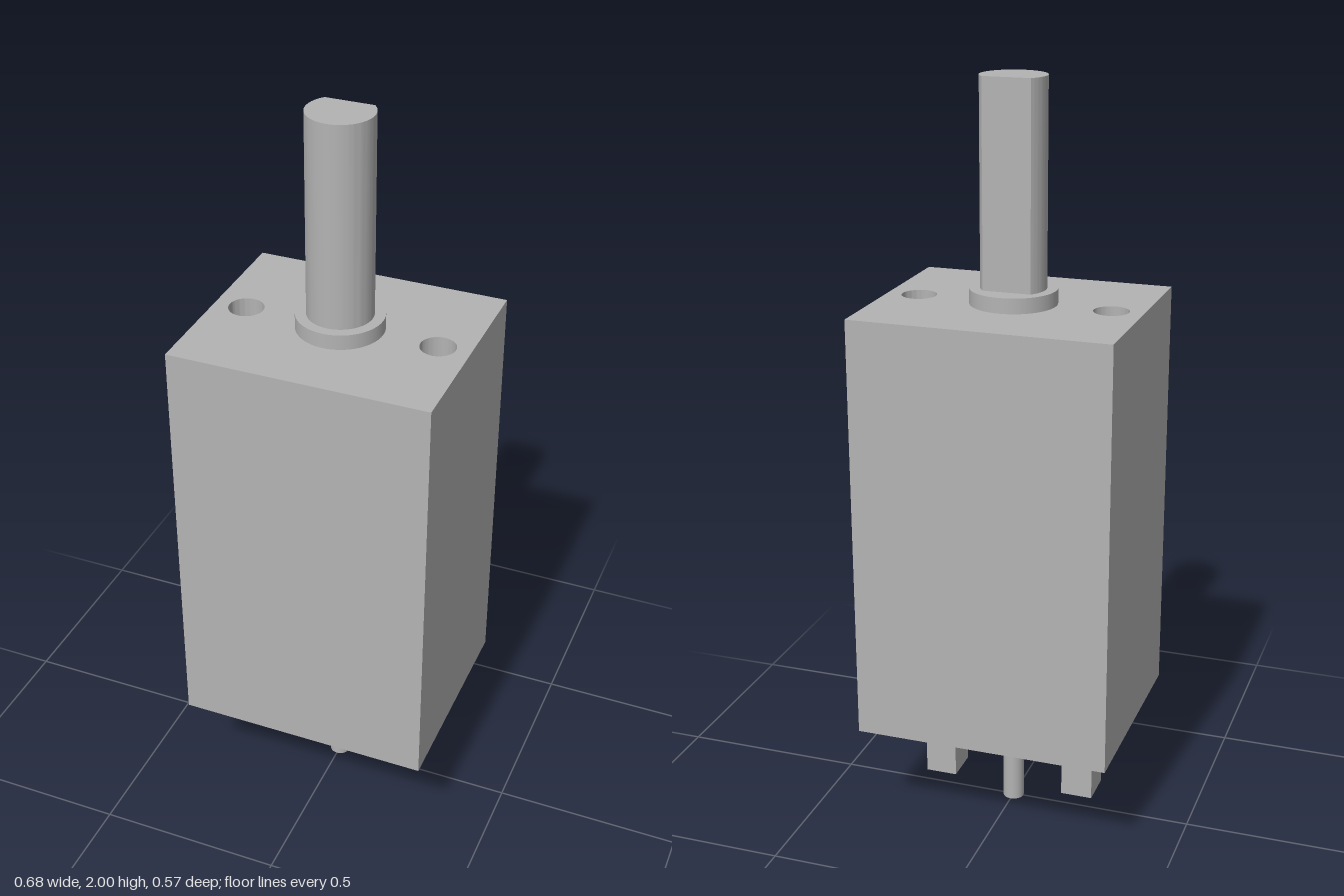
import * as THREE from 'three';
import { toCreasedNormals } from 'three/addons/utils/BufferGeometryUtils.js';

const WIDTH = 0.683, DEPTH = 0.57, BOTTOM = 0.29, TOP = 1.43;
const HOLE_X = 0.257, HOLE_R = 0.046, HOLE_DEPTH = 0.17;

export function createModel() {
  const model = new THREE.Group();
  model.name = 'rotarySwitch';
  const grey = new THREE.MeshStandardMaterial({ color: 0xb3b3b3 });
  grey.name = 'metalGrey';

  const add = (name, geometry, x, y, z) => {
    const mesh = new THREE.Mesh(geometry, grey);
    mesh.name = name;
    mesh.position.set(x, y, z);
    model.add(mesh);
  };

  // Extrudes a plan outline upwards; shape +y becomes -z
  const extrudeUp = (shape, height) => {
    const g = new THREE.ExtrudeGeometry(shape, { depth: height, bevelEnabled: false, curveSegments: 32 });
    g.rotateX(-Math.PI / 2);
    return toCreasedNormals(g, Math.PI / 6);
  };

  // Body: solid lower block, upper block with two blind mounting holes
  const floor = TOP - HOLE_DEPTH;
  add('body', new THREE.BoxGeometry(WIDTH, floor - BOTTOM, DEPTH), 0, (floor + BOTTOM) / 2, 0);
  const w = WIDTH / 2, d = DEPTH / 2;
  const plan = new THREE.Shape([[-w, -d], [w, -d], [w, d], [-w, d]].map(p => new THREE.Vector2(...p)));
  for (const side of [-1, 1]) {
    plan.holes.push(new THREE.Path().absarc(side * HOLE_X, 0, HOLE_R, 0, Math.PI * 2, true));
  }
  add('bodyTop', extrudeUp(plan, HOLE_DEPTH), 0, floor, 0);

  // Collar and shaft with a flat at the back
  add('collar', new THREE.CylinderGeometry(0.113, 0.113, 0.04, 64), 0, TOP + 0.02, 0);
  const r = 0.085, a = Math.asin(0.057 / r);
  const section = new THREE.Shape();
  section.absarc(0, 0, r, Math.PI - a, a, false);
  section.closePath();
  add('shaft', extrudeUp(section, 2 - TOP - 0.04), 0, TOP + 0.04, 0);

  // Bottom terminals and central pin
  for (const side of [-1, 1]) {
    add(side > 0 ? 'leftTerminal' : 'rightTerminal',
      new THREE.BoxGeometry(0.086, 0.23, 0.1), side * 0.198, 0.175, 0);
  }
  add('centrePin', new THREE.CylinderGeometry(0.0285, 0.0285, BOTTOM, 32), 0, BOTTOM / 2, 0);

  return model;
}
